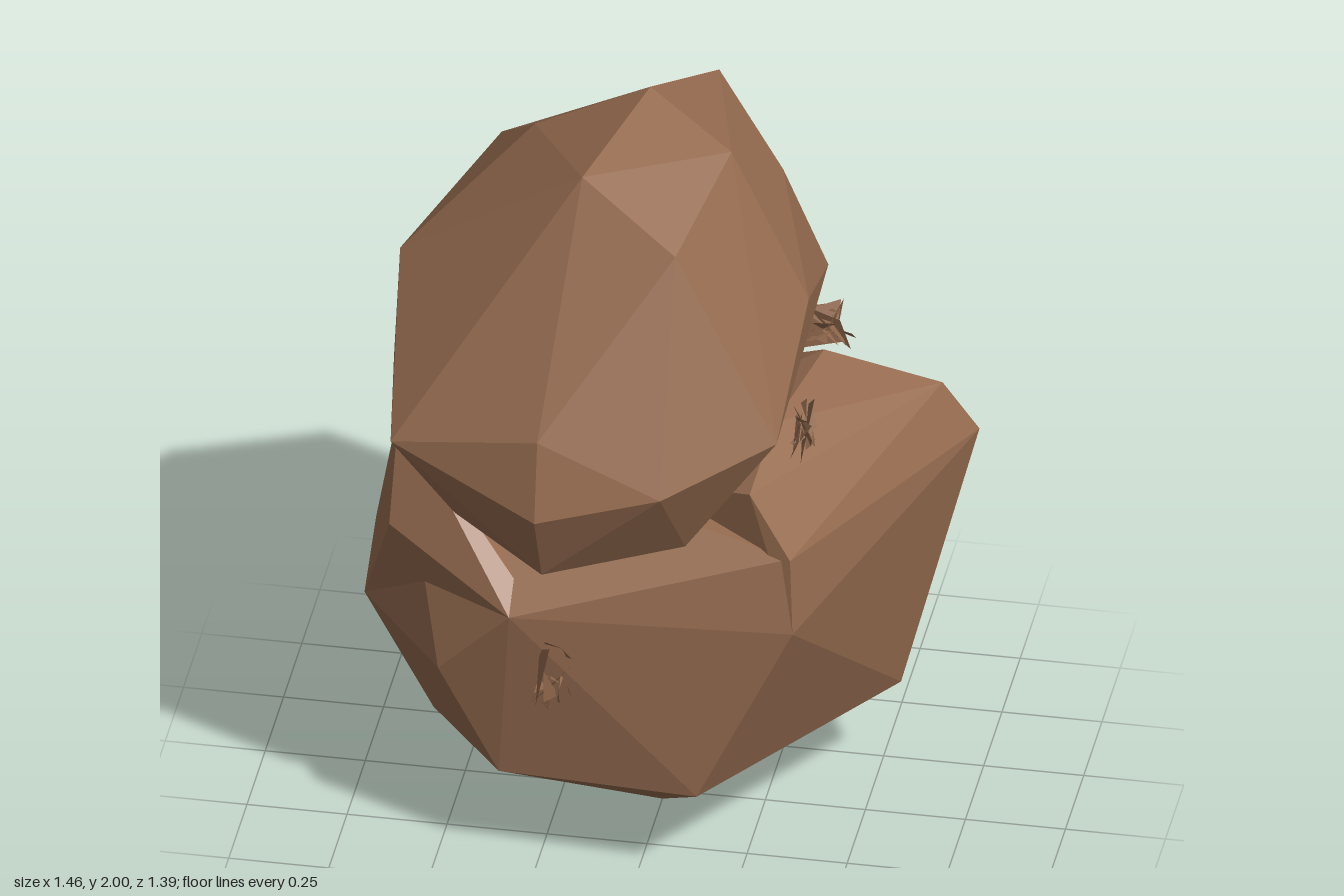
import * as THREE from 'three';
import { ConvexGeometry } from 'three/addons/geometries/ConvexGeometry.js';

// Small seeded generator for the shards
function seeded(seed) {
  let s = seed;
  return () => (s = (s * 16807) % 2147483647) / 2147483647;
}

export function createModel() {
  const model = new THREE.Group();
  const stone = new THREE.MeshStandardMaterial({ color: 0x966c50, flatShading: true });
  stone.name = 'brown stone';
  const shardStone = new THREE.MeshStandardMaterial({ color: 0x8e664b, flatShading: true, side: THREE.DoubleSide });
  shardStone.name = 'shard stone';

  // A faceted boulder spanned by its corner points
  function boulder(name, corners) {
    const mesh = new THREE.Mesh(new ConvexGeometry(corners.map(c => new THREE.Vector3(...c))), stone);
    mesh.name = name;
    model.add(mesh);
  }

  boulder('topBoulder', [
    // crown
    [-0.05, 2.0, -0.07], [0.18, 1.93, 0.08], [-0.16, 1.93, 0.26], [0.10, 1.82, 0.41],
    [0.06, 1.85, -0.41], [0.26, 1.72, -0.19], [-0.35, 1.82, -0.13],
    // sides
    [0.375, 1.53, 0.09], [0.36, 1.41, -0.26], [0.36, 1.33, 0.45], [0.13, 1.48, -0.49],
    [-0.12, 1.60, -0.56], [-0.28, 1.30, -0.61], [-0.48, 1.62, -0.39], [-0.53, 1.60, 0.15],
    [-0.65, 1.55, 0.07], [-0.64, 1.27, -0.22], [-0.66, 1.25, 0.10],
    // front
    [-0.20, 1.40, 0.66], [-0.20, 1.19, 0.70], [0.10, 1.24, 0.62], [-0.59, 1.28, 0.53],
    // underside
    [-0.20, 0.98, 0.60], [0.13, 1.0, 0.44], [-0.45, 1.02, 0.42], [0.27, 1.12, 0.20],
    [0.24, 1.13, -0.36], [-0.25, 1.05, -0.52], [-0.45, 1.05, -0.20]
  ]);

  // Belly with a sloping ledge along its upper front
  boulder('mainBoulder', [
    [0, 0, 0.04], [0.16, 0.28, 0.45], [-0.34, 0.28, 0.42], [-0.55, 0.28, 0.16],
    [0.56, 0.28, -0.16], [0.30, 0.28, -0.45], [-0.10, 0.28, -0.36],
    [0.40, 0.78, 0.45], [-0.30, 0.78, 0.50], [-0.49, 0.57, 0.43], [-0.73, 0.57, 0.12],
    [0.725, 0.93, -0.33], [0.10, 0.82, -0.535], [0.39, 0.98, 0.42],
    [-0.64, 1.08, 0.12]
  ]);

  boulder('rightShoulder', [
    [0.725, 0.93, -0.33], [0.64, 1.08, -0.29], [0.39, 0.98, 0.43], [0.28, 1.13, 0.38],
    [0.36, 1.20, -0.20], [0.30, 1.20, 0.15], [0.20, 1.07, -0.345], [0.14, 0.97, -0.48],
    [0.10, 0.82, -0.535], [0.40, 0.78, 0.45], [-0.30, 0.90, 0.0]
  ]);

  boulder('leftRidge', [
    [-0.62, 1.20, 0.25], [-0.64, 1.10, 0.12], [-0.63, 0.91, 0.33],
    [-0.30, 0.85, 0.43], [-0.30, 0.90, 0.05], [-0.71, 0.76, 0.07], [-0.73, 0.57, 0.12],
    [-0.30, 0.78, 0.50]
  ]);

  boulder('lowBoulder', [
    [-0.38, 0.15, -0.26], [-0.67, 0.30, -0.18], [-0.50, 0.30, -0.54], [-0.20, 0.29, -0.54],
    [-0.72, 0.50, -0.14], [-0.65, 0.50, -0.33], [-0.48, 0.50, -0.55], [-0.20, 0.50, -0.60],
    [-0.04, 0.46, -0.42], [-0.64, 0.72, 0.0], [-0.28, 0.73, -0.38], [-0.58, 0.68, -0.22],
    [-0.65, 0.50, 0.06], [-0.30, 0.30, 0.0]
  ]);

  // Tufts of broad three-cornered shards tumbled together
  function tuft(name, centre, size, seed, count) {
    const rnd = seeded(seed);
    const corner = () => size.map((s, i) => centre[i] + (rnd() * 2 - 1) * s);
    const points = [];
    for (let i = 0; i < count * 3; i++) points.push(...corner());
    const geometry = new THREE.BufferGeometry();
    geometry.setAttribute('position', new THREE.Float32BufferAttribute(points, 3));
    geometry.computeVertexNormals();
    const mesh = new THREE.Mesh(geometry, shardStone);
    mesh.name = name;
    model.add(mesh);
  }
  tuft('frontShards', [-0.20, 0.61, 0.46], [0.06, 0.11, 0.06], 1234, 22);
  tuft('backShards', [-0.06, 0.66, -0.58], [0.12, 0.16, 0.11], 777, 20);
  tuft('shoulderShardsFront', [0.38, 1.21, 0.17], [0.03, 0.08, 0.06], 4321, 18);
  tuft('shoulderShardsBack', [0.35, 1.21, -0.30], [0.07, 0.06, 0.08], 9876, 18);

  return model;
}
